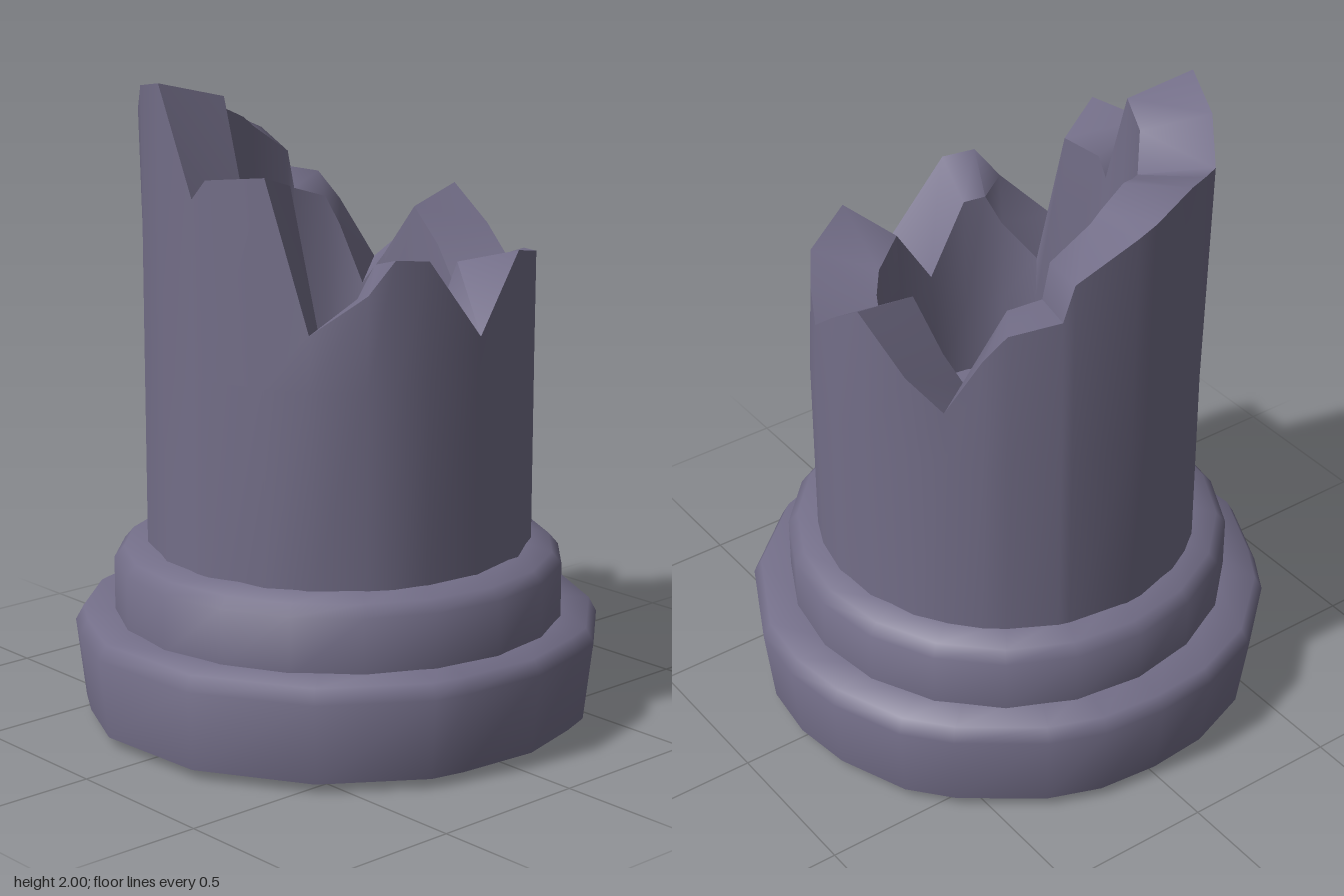
import * as THREE from 'three';
import { toCreasedNormals } from 'three/addons/utils/BufferGeometryUtils.js';

// Skin a list of closed rings (each an array of Vector3), smooth up to a crease angle
function loft(rings, crease) {
  const pos = [];
  const tri = (a, b, c) => {
    if (a.distanceTo(b) < 1e-5 || b.distanceTo(c) < 1e-5 || c.distanceTo(a) < 1e-5) return;
    for (const p of [a, b, c]) pos.push(p.x, p.y, p.z);
  };
  for (let r = 0; r < rings.length - 1; r++) {
    const lo = rings[r], hi = rings[r + 1], n = lo.length;
    for (let i = 0; i < n; i++) {
      const j = (i + 1) % n;
      tri(lo[i], lo[j], hi[j]);
      tri(lo[i], hi[j], hi[i]);
    }
  }
  const geo = new THREE.BufferGeometry();
  geo.setAttribute('position', new THREE.Float32BufferAttribute(pos, 3));
  return toCreasedNormals(geo, crease);
}

// Worn outline of the plinth, anticlockwise from the front: x, z
const PLINTH = [
  [0.07, 0.81], [0.3, 0.75], [0.41, 0.71], [0.65, 0.5], [0.8, 0.2], [0.825, 0], [0.8, -0.2],
  [0.71, -0.43], [0.6, -0.56], [0.37, -0.73], [0.2, -0.795], [0, -0.815], [-0.2, -0.8],
  [-0.42, -0.72], [-0.63, -0.54], [-0.71, -0.41], [-0.82, -0.17], [-0.8, 0.22], [-0.6, 0.56],
  [-0.31, 0.76], [-0.2, 0.785],
];

// Broken rim of the shaft, anticlockwise from the front: x, z, height
const RIM = [
  [0.01, 0.605, 1.28], [0.23, 0.54, 1.5], [0.42, 0.43, 1.46], [0.51, 0.29, 1.44],
  [0.56, 0.19, 1.37], [0.59, 0.05, 1.48], [0.6, -0.11, 1.59], [0.55, -0.27, 1.43],
  [0.48, -0.36, 1.33], [0.4, -0.44, 1.52], [0.35, -0.49, 1.61], [0.21, -0.56, 1.64],
  [0.18, -0.575, 1.76], [-0.02, -0.6, 1.85], [-0.08, -0.605, 1.88], [-0.24, -0.56, 1.92],
  [-0.33, -0.51, 1.9], [-0.41, -0.46, 1.88], [-0.5, -0.33, 1.97], [-0.59, -0.13, 2],
  [-0.6, 0.03, 1.68], [-0.59, 0.08, 1.74], [-0.52, 0.26, 1.76], [-0.45, 0.37, 1.31],
  [-0.34, 0.5, 1.43], [-0.27, 0.54, 1.53], [-0.17, 0.575, 1.52],
];

export function createModel() {
  const group = new THREE.Group();
  const stone = new THREE.MeshStandardMaterial({ color: 0x736e88 });
  stone.name = 'weathered stone';
  const add = (name, geo) => {
    const mesh = new THREE.Mesh(geo, stone);
    mesh.name = name;
    group.add(mesh);
  };

  // Plinth: wide worn disc with softened edges
  const plinthRing = (s, y) => PLINTH.map(([x, z]) => new THREE.Vector3(x * s, y, z * s));
  add('plinth', loft([
    plinthRing(0, 0), plinthRing(0.72, 0), plinthRing(0.965, 0.03), plinthRing(1, 0.28),
    plinthRing(0.97, 0.325), plinthRing(0.8, 0.335), plinthRing(0, 0.335),
  ], 1.1));

  // Collar: smaller step between plinth and shaft
  const collarRing = (r, y) => Array.from({ length: 20 }, (_, i) => {
    const a = (i / 20) * Math.PI * 2;
    const worn = r * (1 + 0.008 * Math.sin(3 * a + 1));
    return new THREE.Vector3(worn * Math.sin(a), y, worn * Math.cos(a));
  });
  add('collar', loft([
    collarRing(0.7, 0.32), collarRing(0.7, 0.5), collarRing(0.67, 0.535),
    collarRing(0.58, 0.56), collarRing(0, 0.56),
  ], 1.1));

  // Shaft: round wall, jagged broken rim and hollow core
  const shaftRing = (r, height) => RIM.map(([x, z, h]) => {
    const k = r / Math.hypot(x, z);
    return new THREE.Vector3(x * k, height(h), z * k);
  });
  const rim = RIM.map(([x, z, h]) => new THREE.Vector3(x, h, z));
  add('brokenShaft', loft([
    shaftRing(0.6, () => 0.53), shaftRing(0.6, () => 1.15), rim,
    shaftRing(0.39, (h) => h - 0.05),
    shaftRing(0.375, () => 1.1), shaftRing(0.375, () => 0.85), shaftRing(0, () => 0.8),
  ], 1.0));

  return group;
}
